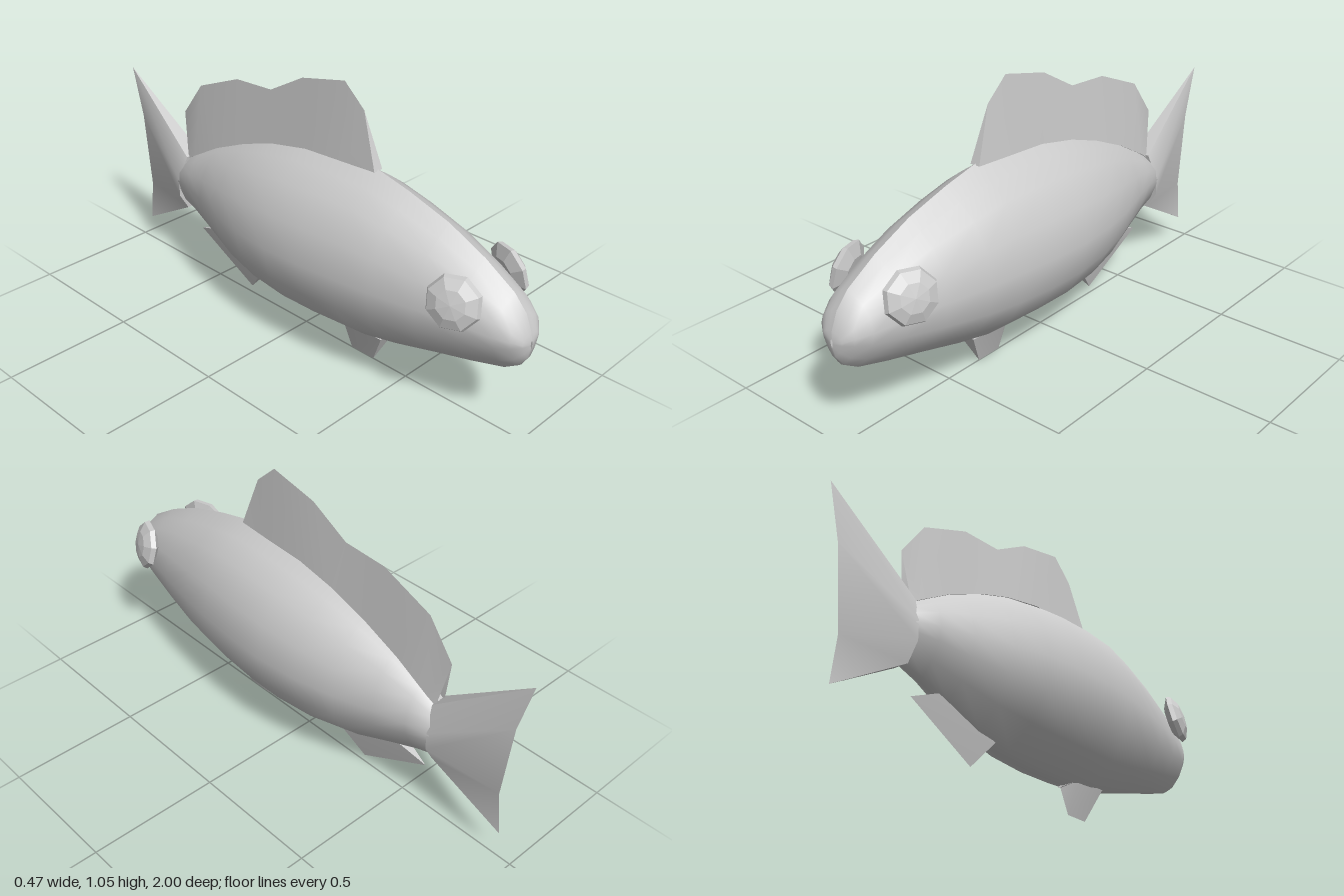
import * as THREE from 'three';
import { toCreasedNormals } from 'three/addons/utils/BufferGeometryUtils.js';

const grey = new THREE.MeshStandardMaterial({ color: 0xcccccc, side: THREE.DoubleSide });
const flatGrey = new THREE.MeshStandardMaterial({ color: 0xcccccc, flatShading: true });

function makeGeometry(positions, index) {
  const g = new THREE.BufferGeometry();
  g.setAttribute('position', new THREE.Float32BufferAttribute(positions, 3));
  g.setIndex(index);
  g.computeVertexNormals();
  return g;
}

function part(group, name, geometry, material = grey) {
  const m = new THREE.Mesh(geometry, material);
  m.name = name;
  group.add(m);
  return m;
}

// Body stations, nose to tail: z, top y, flank line y, bottom y, half width
const stations = [
  [1.0, 0.40, 0.385, 0.37, 0.005],
  [0.995, 0.43, 0.39, 0.335, 0.045],
  [0.97, 0.49, 0.39, 0.295, 0.08],
  [0.92, 0.545, 0.38, 0.264, 0.107],
  [0.80, 0.62, 0.365, 0.23, 0.137],
  [0.65, 0.69, 0.345, 0.193, 0.170],
  [0.48, 0.742, 0.325, 0.148, 0.203],
  [0.34, 0.775, 0.315, 0.118, 0.222],
  [0.18, 0.777, 0.31, 0.108, 0.235],
  [0.02, 0.768, 0.308, 0.105, 0.236],
  [-0.15, 0.735, 0.313, 0.115, 0.216],
  [-0.30, 0.685, 0.325, 0.145, 0.180],
  [-0.45, 0.62, 0.345, 0.205, 0.130],
  [-0.57, 0.55, 0.365, 0.25, 0.093],
  [-0.66, 0.49, 0.37, 0.275, 0.068],
  [-0.74, 0.40, 0.36, 0.32, 0.005],
];

// Half cross-section from ridge to belly: width fraction, height fraction from flank line
const section = [[0, 1], [0.3, 0.9], [0.617, 0.785], [0.89, 0.55], [1, 0.27], [0.915, 0],
  [0.617, -0.54], [0.19, -0.95], [0, -1]];

function bodyHalf(side) {
  const pos = [], idx = [], n = section.length;
  stations.forEach(([z, top, line, bottom, w], i) => {
    section.forEach(([fx, fy], j) => {
      pos.push(side * fx * w, line + fy * (fy > 0 ? top - line : line - bottom), z);
      if (i === stations.length - 1 || j === n - 1) return;
      const a = i * n + j, b = a + n;
      if (side > 0) idx.push(a, a + 1, b, b, a + 1, b + 1);
      else idx.push(a, b, a + 1, b, b + 1, a + 1);
    });
  });
  return makeGeometry(pos, idx);
}

// Wedge-shaped fin: thick base [z, y, half width] tapering to a sharp tip [z, y]
function fin(base, tip) {
  const pos = [], idx = [];
  base.forEach(([z, y, w], i) => {
    pos.push(w, y, z, -w, y, z, 0, tip[i][1], tip[i][0]);
    if (i === base.length - 1) return;
    const L = i * 3, R = L + 1, T = L + 2;
    idx.push(L, L + 3, T, T, L + 3, T + 3);
    idx.push(R, T, R + 3, T, T + 3, R + 3);
    idx.push(L, R, R + 3, L, R + 3, L + 3);
  });
  const e = (base.length - 1) * 3;
  idx.push(0, 2, 1, e + 1, e + 2, e);
  return toCreasedNormals(makeGeometry(pos, idx), 0.6);
}

export function createModel() {
  const fish = new THREE.Group();
  fish.name = 'fish';

  part(fish, 'bodyLeft', bodyHalf(1));
  part(fish, 'bodyRight', bodyHalf(-1));

  // Tall fin along the back
  part(fish, 'dorsalFin', fin(
    [[0.34, 0.77, 0.02], [0.22, 0.765, 0.024], [0.02, 0.755, 0.026], [-0.15, 0.72, 0.026],
      [-0.3, 0.67, 0.026], [-0.46, 0.60, 0.026], [-0.6, 0.52, 0.026], [-0.64, 0.495, 0.022]],
    [[0.27, 0.97], [0.18, 1.05], [-0.02, 1.005], [-0.18, 0.915],
      [-0.36, 0.905], [-0.57, 0.82], [-0.675, 0.68], [-0.6, 0.565]]));

  // Forked tail, upper lobe longer
  part(fish, 'tailFin', fin(
    [[-0.635, 0.505, 0.035], [-0.65, 0.41, 0.07], [-0.65, 0.34, 0.07], [-0.65, 0.272, 0.03]],
    [[-1, 0.78], [-0.95, 0.58], [-0.92, 0.28], [-0.94, 0.108]]));

  // Belly fins
  part(fish, 'pelvicFin', fin(
    [[0.195, 0.10, 0.012], [0.25, 0.128, 0.04], [0.41, 0.135, 0.038]],
    [[0.195, 0.095], [0.24, 0.004], [0.345, 0.004]]));
  part(fish, 'analFin', fin(
    [[-0.47, 0.235, 0.025], [-0.22, 0.135, 0.035]],
    [[-0.6, 0.185], [-0.305, 0.033]]));

  // Faceted bulging eyes, turned a little up and forward
  const profile = [[0, -0.034], [0.055, -0.03], [0.098, -0.006], [0.09, 0.012], [0.052, 0.03], [0, 0.036]]
    .map(([r, h]) => new THREE.Vector2(r, h));
  for (const side of [1, -1]) {
    const eye = part(fish, side > 0 ? 'leftEye' : 'rightEye', new THREE.LatheGeometry(profile, 8), flatGrey);
    eye.position.set(side * 0.15, 0.518, 0.795);
    eye.quaternion.setFromUnitVectors(new THREE.Vector3(0, 1, 0),
      new THREE.Vector3(side * 0.92, 0.24, 0.32).normalize());
  }
  return fish;
}
